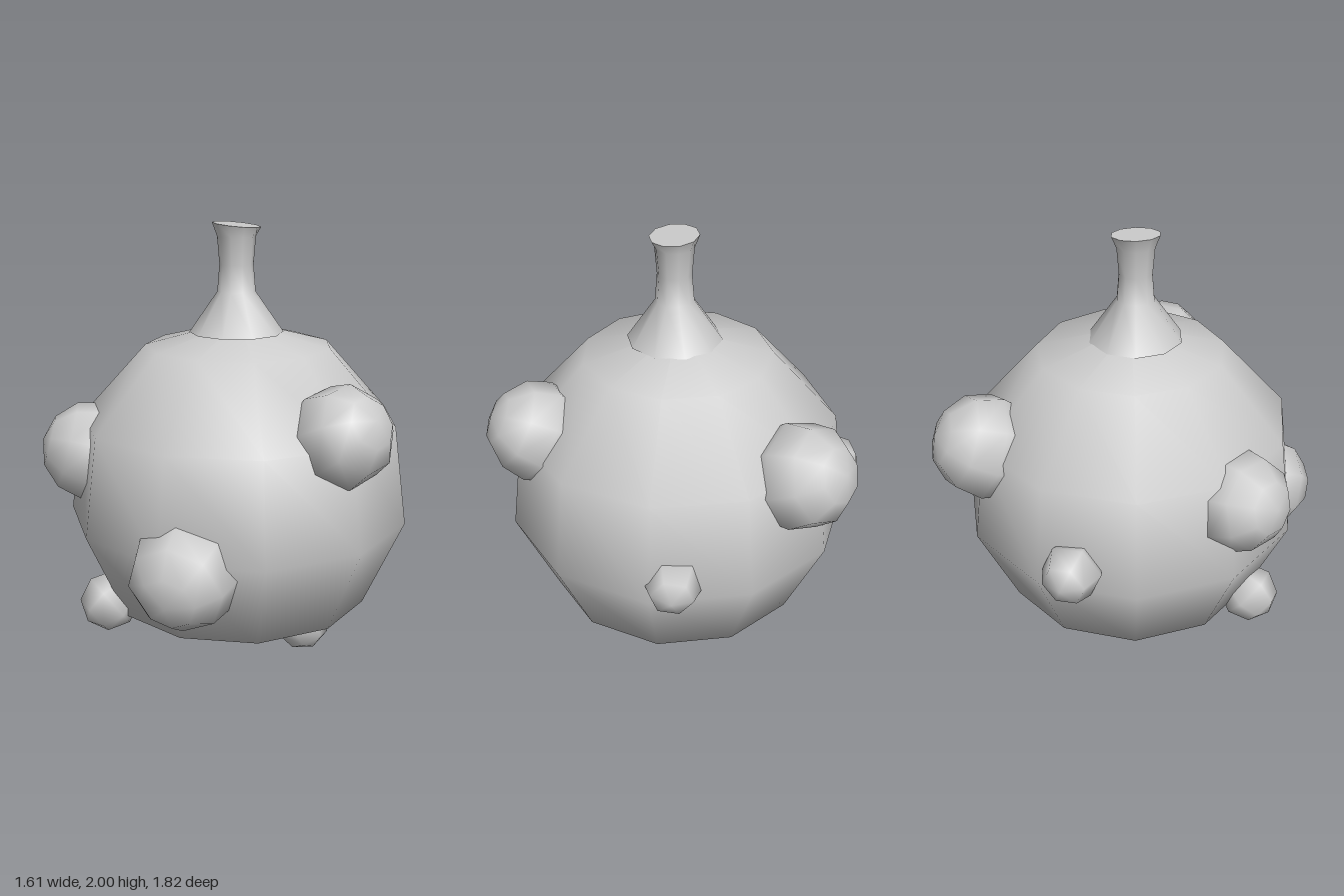
import * as THREE from 'three';

const material = new THREE.MeshStandardMaterial({ color: 0xcccccc });

function addMesh(parent, name, geometry) {
  const mesh = new THREE.Mesh(geometry, material);
  mesh.name = name;
  parent.add(mesh);
  return mesh;
}

// Surface of revolution from [radius, height] pairs, listed bottom to top
function turned(profile, sides, start) {
  const points = profile.map(([r, y]) => new THREE.Vector2(r, y));
  return new THREE.LatheGeometry(points, sides, start);
}

// Tilt the cut end of the stem slightly down towards +x
function tiltEnd(geometry) {
  const p = geometry.attributes.position;
  for (let i = 0; i < p.count; i++) {
    if (p.getY(i) > 1.99) p.setY(i, 2 - 0.1 * (p.getX(i) + 0.1));
  }
  return geometry;
}

export function createModel() {
  const group = new THREE.Group();
  group.name = 'wartyGourd';

  // Eleven-sided round body with a pointed underside
  const body = addMesh(group, 'body', turned([
    [0, 0], [0.6, 0.28], [0.78, 0.685], [0.72, 1.13], [0.42, 1.46], [0, 1.57],
  ], 11, Math.PI / 2));
  body.position.set(0.02, 0, 0);

  // Flared stem with a closed, slightly slanted end
  const stem = new THREE.Group();
  stem.name = 'stem';
  stem.position.set(0.015, 0, 0.02);
  group.add(stem);
  addMesh(stem, 'stemSide', tiltEnd(turned([
    [0.21, 1.52], [0.085, 1.7], [0.075, 1.82], [0.085, 1.94], [0.107, 2],
  ], 10, 0)));
  addMesh(stem, 'stemEnd', tiltEnd(turned([[0.107, 2], [0, 2]], 10, 0)));

  // Warts: centre x, y, z and radius
  const warts = [
    ['frontWart', -0.01, 0.62, 0.67, 0.24],
    ['backWart', 0, 1.1, -0.68, 0.24],
    ['leftWart', 0.56, 1.16, 0.34, 0.225],
    ['rightWart', -0.59, 0.99, 0.28, 0.225],
    ['smallFrontWart', -0.46, 0.33, 0.43, 0.135],
    ['smallBottomWart', 0.36, 0.19, 0.11, 0.125],
    ['smallBackLeftWart', 0.57, 0.75, -0.46, 0.13],
    ['smallBackRightWart', -0.58, 0.78, -0.46, 0.135],
  ];
  const up = new THREE.Vector3(0, 1, 0);
  const bodyCentre = new THREE.Vector3(0.02, 0.8, 0);
  for (const [name, x, y, z, r] of warts) {
    const big = r > 0.2;
    const wart = addMesh(group, name, new THREE.SphereGeometry(r, big ? 8 : 6, big ? 6 : 4));
    wart.position.set(x, y, z);
    // The pole of each wart points away from the body
    const outward = wart.position.clone().sub(bodyCentre).normalize();
    wart.quaternion.setFromUnitVectors(up, outward);
  }
  return group;
}
